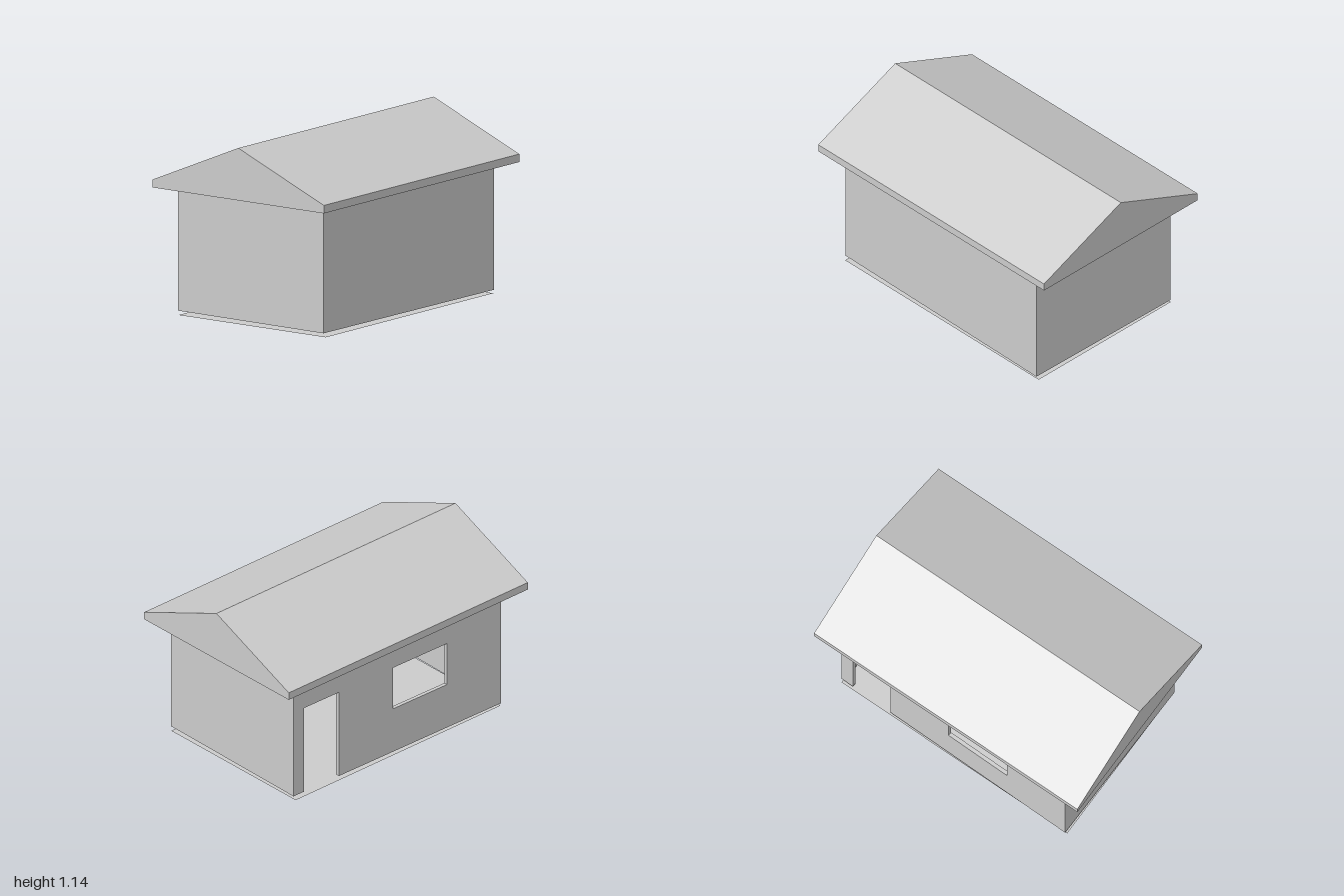
import * as THREE from 'three';

const W = 0.85, D = 0.567, T = 0.025; // wall half width, half depth, thickness
const BASE = 0.025, TOP = 0.81;
const TURN = 0.0138; // roof and floor sit slightly turned against the walls

const material = new THREE.MeshStandardMaterial({ color: 0xcccccc, flatShading: true });
const thinMaterial = new THREE.MeshStandardMaterial({ color: 0xcccccc, side: THREE.DoubleSide });

function add(parent, name, geometry, x = 0, y = 0, z = 0, mat = material) {
  const mesh = new THREE.Mesh(geometry, mat);
  mesh.name = name;
  mesh.position.set(x, y, z);
  parent.add(mesh);
  return mesh;
}

const polygon = (points) => points.map(([x, y]) => new THREE.Vector2(x, y));
const extrude = (shape, depth) => new THREE.ExtrudeGeometry(shape, { depth, bevelEnabled: false });

export function createModel() {
  const house = new THREE.Group();
  house.name = 'house';

  // Plain front and side walls
  const walls = new THREE.Group();
  walls.name = 'walls';
  house.add(walls);
  const height = TOP - BASE, midY = (TOP + BASE) / 2;
  add(walls, 'frontWall', new THREE.BoxGeometry(2 * W, height, T), 0, midY, D - T / 2);
  for (const [name, side] of [['leftWall', 1], ['rightWall', -1]]) {
    add(walls, name, new THREE.BoxGeometry(T, height, 2 * (D - T)), side * (W - T / 2), midY, 0);
  }

  // Back wall: doorway notched from the bottom edge, window cut as a hole
  const back = new THREE.Shape(polygon([
    [-W, BASE], [0.478, BASE], [0.478, 0.62], [0.763, 0.62],
    [0.763, BASE], [W, BASE], [W, TOP], [-W, TOP],
  ]));
  back.holes.push(new THREE.Path(polygon([
    [-0.407, 0.33], [-0.407, 0.622], [0.036, 0.622], [0.036, 0.33],
  ])));
  add(walls, 'backWall', extrude(back, T), 0, 0, -D);

  // Solid gable roof with vertical eaves and a flat underside
  const halfLength = 0.991, eave = 0.659;
  const gable = new THREE.Shape(polygon([
    [-eave, TOP], [eave, TOP], [eave, 0.86], [0, 1.138], [-eave, 0.86],
  ]));
  const roofGeometry = extrude(gable, 2 * halfLength);
  roofGeometry.translate(0, 0, -halfLength).rotateY(Math.PI / 2);
  add(house, 'roof', roofGeometry).rotation.y = TURN;

  // Thin floor sheet just below the walls
  const floorGeometry = new THREE.PlaneGeometry(2 * W, 2 * D).rotateX(-Math.PI / 2);
  add(house, 'floor', floorGeometry, 0, 0, 0, thinMaterial).rotation.y = TURN;

  return house;
}
